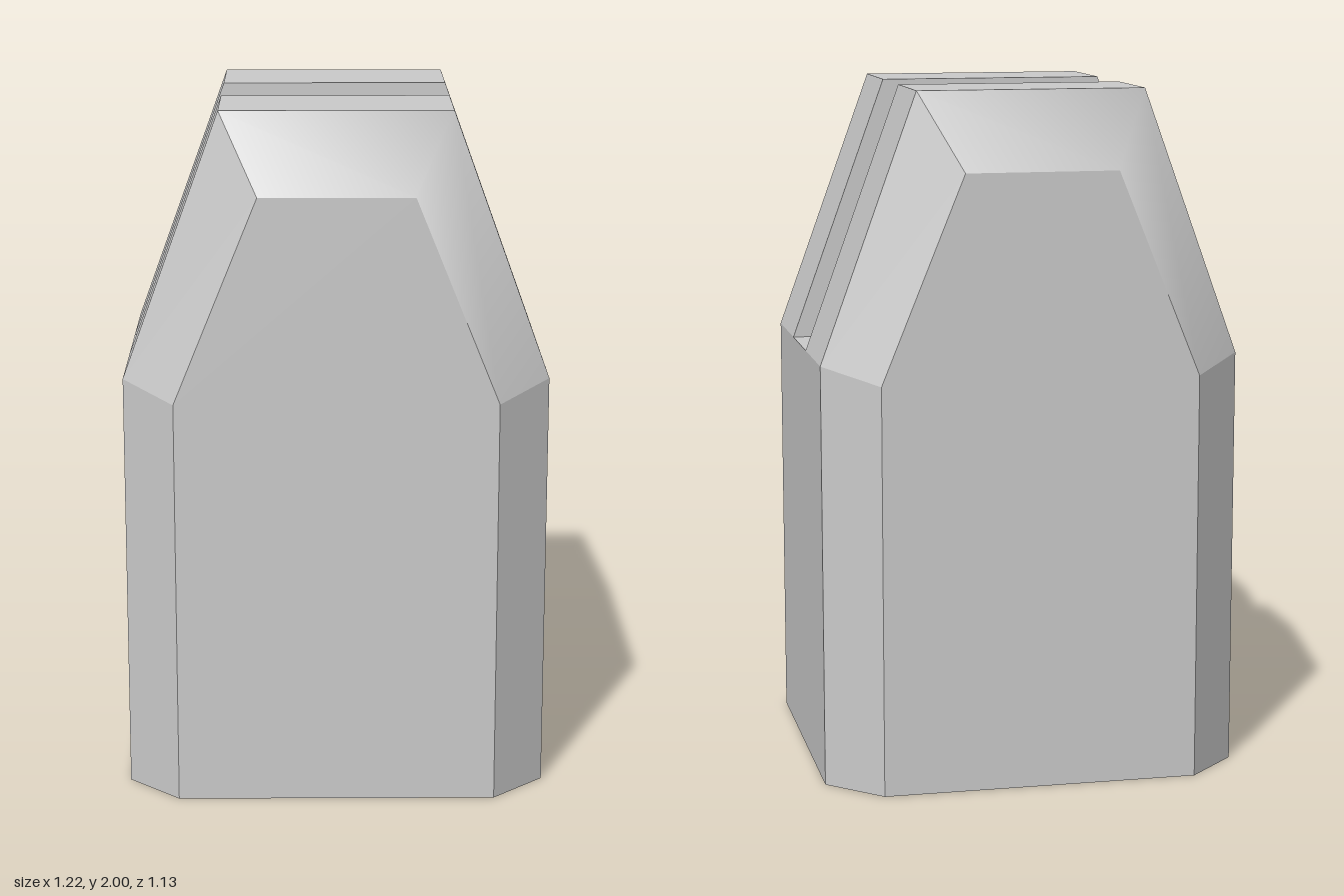
import * as THREE from 'three';

const material = new THREE.MeshStandardMaterial({ color: 0xcccccc, side: THREE.DoubleSide });

// Half outlines, listed from the +x foot up to the top corner
const outer = [[0.61, 0], [0.61, 1.23], [0.33, 2]];
const inner = [[0.46, 0], [0.46, 1.19], [0.22, 1.78]];
const frontZ = 0.565, shoulderZ = 0.42, slotZ = 0.13;

// Full outline from +x foot over the top to -x foot
const mirror = (pts) => [...pts, ...pts.map(([x, y]) => [-x, y]).reverse()];

// Surface joining outline a at depth za to outline b at depth zb
function strip(name, a, za, b, zb, smooth = false) {
  const pos = [], index = [];
  a.forEach((p, i) => {
    pos.push(p[0], p[1], za, b[i][0], b[i][1], zb);
    if (i) {
      const k = 2 * (i - 1);
      index.push(k, k + 1, k + 3, k, k + 3, k + 2);
    }
  });
  let geo = new THREE.BufferGeometry();
  geo.setAttribute('position', new THREE.Float32BufferAttribute(pos, 3));
  geo.setIndex(index);
  if (!smooth) geo = geo.toNonIndexed();
  geo.computeVertexNormals();
  const mesh = new THREE.Mesh(geo, material);
  mesh.name = name;
  return mesh;
}

function panel(name, pts, z) {
  const shape = new THREE.Shape(pts.map(([x, y]) => new THREE.Vector2(x, y)));
  const mesh = new THREE.Mesh(new THREE.ShapeGeometry(shape), material);
  mesh.name = name;
  mesh.position.z = z;
  return mesh;
}

function createHalf(name) {
  const half = new THREE.Group();
  half.name = name;
  const out = mirror(outer), inn = mirror(inner);

  half.add(panel('face', inn, frontZ));

  // Bevels: the top one blends into one slope, the rest stay crisp
  const bevel = (label, from, to, smooth) =>
    half.add(strip(label, inn.slice(from, to), frontZ, out.slice(from, to), shoulderZ, smooth));
  bevel('leftCornerBevel', 0, 2);
  bevel('topBevel', 1, 4, true);
  bevel('rightSlopeBevel', 3, 5);
  bevel('rightCornerBevel', 4, 6);

  // Prong slopes and top, and the inner wall of the slot
  const prong = out.slice(1, 5);
  half.add(strip('prongTop', prong, shoulderZ, prong, slotZ));
  const wall = panel('slotWall', prong, slotZ);
  wall.rotation.y = Math.PI;
  half.add(wall);

  // Lower side walls up to the middle
  for (const i of [0, 4]) {
    const side = out.slice(i, i + 2);
    half.add(strip('sideWall', side, shoulderZ, side, 0));
  }
  return half;
}

export function createModel() {
  const model = new THREE.Group();
  model.name = 'slottedBlock';
  const back = createHalf('backHalf');
  back.rotation.y = Math.PI;
  // The underside is left open
  const floor = [[0.61, 1.23], [-0.61, 1.23]];
  model.add(createHalf('frontHalf'), back, strip('slotFloor', floor, slotZ, floor, -slotZ));
  return model;
}
